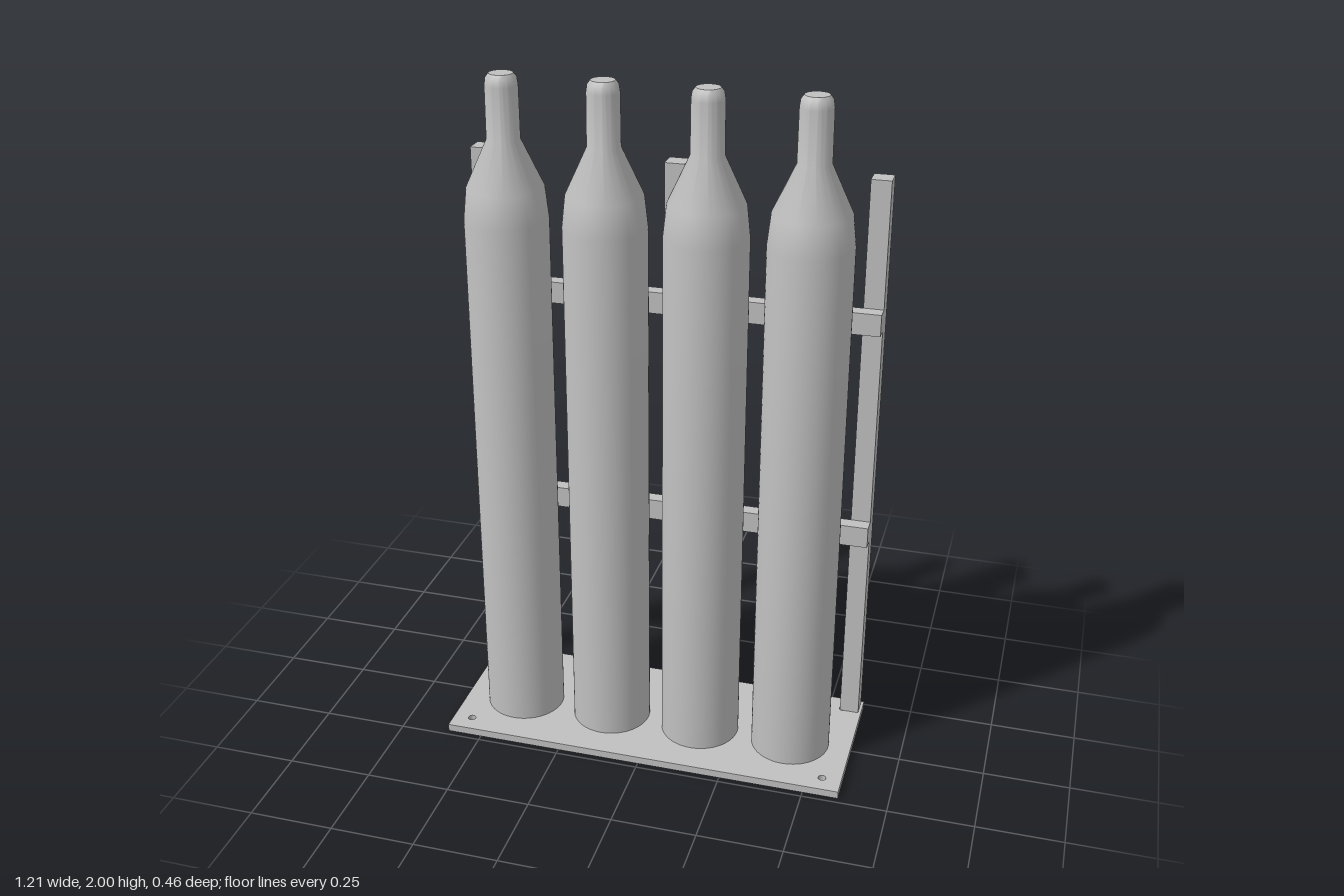
import * as THREE from 'three';
import { toCreasedNormals } from 'three/addons/utils/BufferGeometryUtils.js';

export function createModel() {
  const model = new THREE.Group();
  model.name = 'cylinderRack';
  const steel = new THREE.MeshStandardMaterial({ name: 'grey steel', color: 0xc0c0c0 });

  const add = (name, geometry, x, y, z) => {
    const mesh = new THREE.Mesh(geometry, steel);
    mesh.name = name;
    mesh.position.set(x, y, z);
    model.add(mesh);
  };

  // Base plate with a bolt hole in each corner
  const plateTop = 0.023;
  const outline = new THREE.Shape([
    new THREE.Vector2(-0.605, -0.232), new THREE.Vector2(0.605, -0.232),
    new THREE.Vector2(0.605, 0.232), new THREE.Vector2(-0.605, 0.232),
  ]);
  for (const x of [-0.548, 0.548]) {
    for (const y of [-0.179, 0.179]) {
      outline.holes.push(new THREE.Path().absarc(x, y, 0.0115, 0, Math.PI * 2, true));
    }
  }
  const plate = new THREE.ExtrudeGeometry(outline, { depth: plateTop, bevelEnabled: false, curveSegments: 20 });
  plate.rotateX(-Math.PI / 2);
  add('basePlate', plate, 0, 0, 0);

  // Three square posts along the back
  const postTop = 1.732;
  const post = new THREE.BoxGeometry(0.057, postTop - plateTop, 0.057);
  [-0.572, -0.002, 0.568].forEach((x, i) => {
    add(['rightPost', 'middlePost', 'leftPost'][i], post, x, (postTop + plateTop) / 2, -0.197);
  });

  // Two cross rails in front of the posts
  const rail = new THREE.BoxGeometry(1.197, 0.064, 0.041);
  add('lowerRail', rail, -0.002, 0.667, -0.148);
  add('upperRail', rail, -0.002, 1.333, -0.148);

  // Four gas bottles: straight body, tapered shoulder, narrow capped neck
  const profile = [
    [0, plateTop], [0.117, plateTop], [0.117, 1.6], [0.107, 1.69], [0.046, 1.822],
    [0.045, 1.968], [0.042, 1.988], [0.033, 2], [0, 2],
  ].map(([r, y]) => new THREE.Vector2(r, y));
  const bottle = toCreasedNormals(new THREE.LatheGeometry(profile, 64), 0.6);
  for (let i = 0; i < 4; i++) {
    add('gasBottle' + (i + 1), bottle, -0.423 + i * 0.2815, 0, 0.027);
  }

  return model;
}
